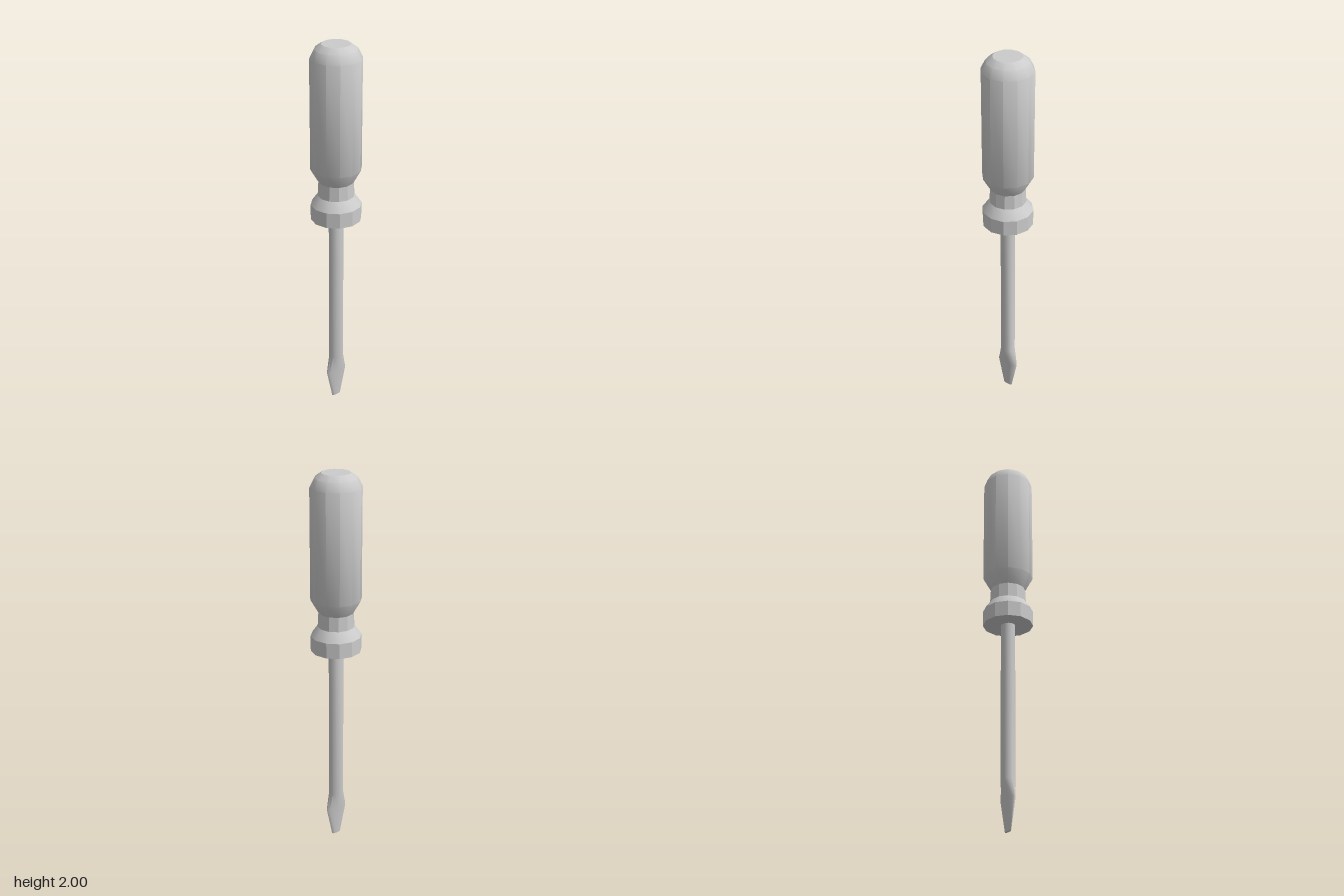
import * as THREE from 'three';
import { toCreasedNormals } from 'three/addons/utils/BufferGeometryUtils.js';

const SIDES = 12;

// Lofts rings of [y, half width in x, half depth in z], listed from bottom to top
function loft(rings, crease) {
  const geometry = new THREE.LatheGeometry(rings.map(([y, rx]) => new THREE.Vector2(rx > 0 ? 1 : 0, y)), SIDES);
  const pos = geometry.attributes.position;
  for (let i = 0; i < pos.count; i++) {
    const [, rx, rz = rx] = rings[i % rings.length];
    pos.setX(i, pos.getX(i) * rx);
    pos.setZ(i, pos.getZ(i) * rz);
  }
  return toCreasedNormals(geometry, crease);
}

export function createModel() {
  const group = new THREE.Group();
  const material = new THREE.MeshStandardMaterial({ color: 0xcccccc });
  const add = (name, geometry) => {
    const mesh = new THREE.Mesh(geometry, material);
    mesh.name = name;
    group.add(mesh);
  };

  // Faceted grip with a collar, a narrow neck and a rounded end
  add('handle', loft([
    [1.085, 0], [1.085, 0.13], [1.165, 0.13], [1.215, 0.094], [1.29, 0.09],
    [1.36, 0.13], [1.93, 0.13], [1.975, 0.107], [2, 0.073], [2, 0],
  ], 0.52));

  // Round shaft that spreads and thins into the flat blade
  add('shaftAndBlade', loft([
    [0, 0, 0], [0, 0.027, 0.008], [0.16, 0.063, 0.022],
    [0.255, 0.039, 0.036], [1.1, 0.039, 0.036], [1.1, 0, 0],
  ], 0.9));

  return group;
}
